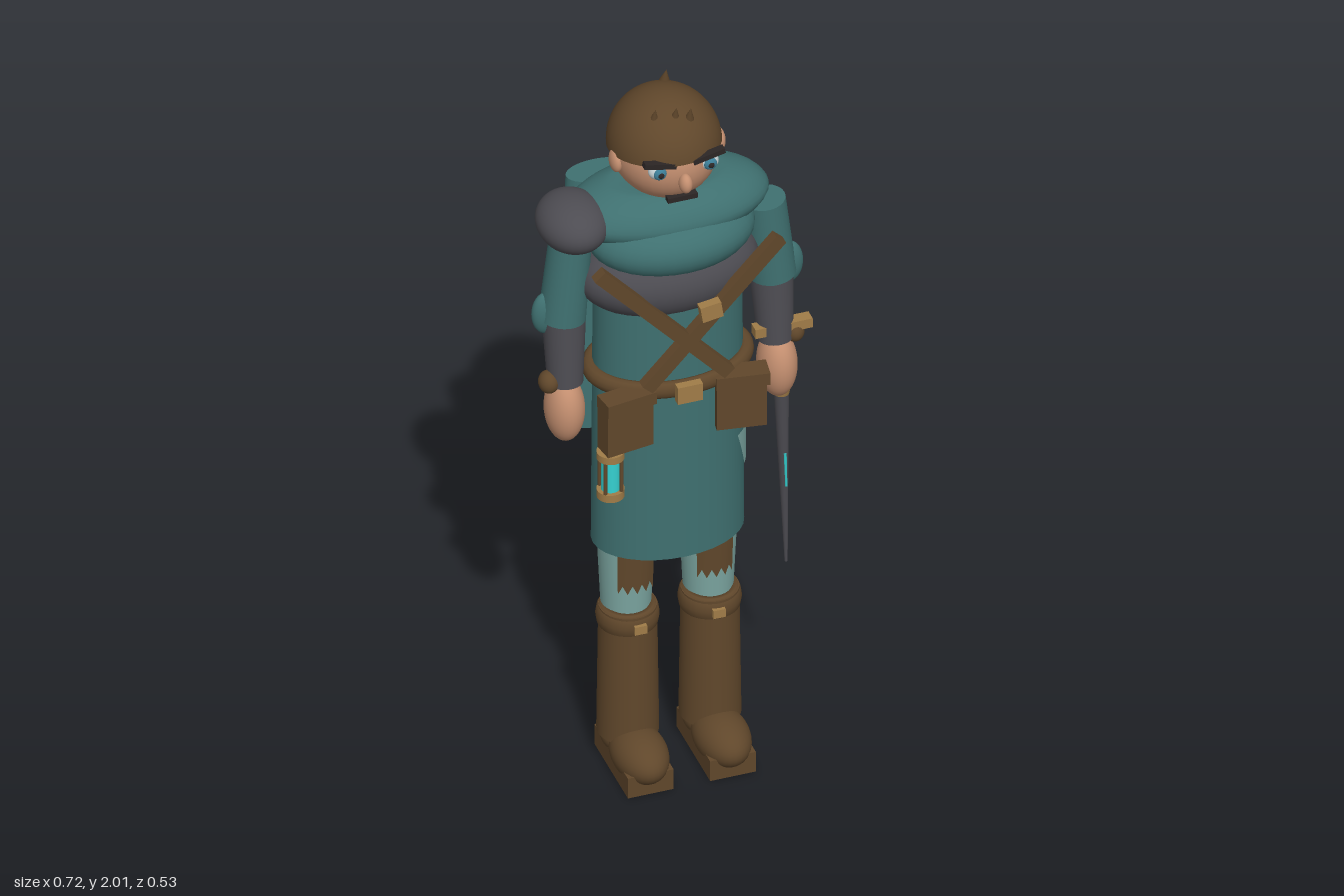
import * as THREE from 'three';

const mat = (name, color, side = THREE.FrontSide) => {
  const m = new THREE.MeshStandardMaterial({ color, side });
  m.name = name;
  return m;
};

export function createModel() {
  const root = new THREE.Group();
  root.name = 'hoodedAdventurer';
  const teal = mat('tealCloth', 0x3f7070);
  const pale = mat('paleTealCloth', 0x7ba5a0, THREE.DoubleSide);
  const grey = mat('darkGreyArmour', 0x4d4c52);
  const brown = mat('brownLeather', 0x60472b, THREE.DoubleSide);
  const skin = mat('skin', 0xc48f70);
  const gold = mat('brass', 0xa07c48);
  const glow = mat('cyanGlow', 0x35d0d0);
  const dark = mat('darkDetail', 0x2c2625);
  const white = mat('eyeWhite', 0xc4d0d2);
  const iris = mat('eyeBlue', 0x3d7f98);

  const add = (name, geo, m, x = 0, y = 0, z = 0, parent = root) => {
    const mesh = new THREE.Mesh(geo, m);
    mesh.name = name;
    mesh.position.set(x, y, z);
    parent.add(mesh);
    return mesh;
  };
  const ball = (name, m, [x, y, z], [rx, ry, rz]) =>
    add(name, new THREE.SphereGeometry(1, 32, 20).scale(rx, ry, rz), m, x, y, z);
  const box = (name, m, [x, y, z], [w, h, d]) => add(name, new THREE.BoxGeometry(w, h, d), m, x, y, z);
  const cyl = (name, m, [x, y, z], rTop, rBottom, h, depth = 1) =>
    add(name, new THREE.CylinderGeometry(rTop, rBottom, h, 32).scale(1, 1, depth), m, x, y, z);
  // Tapered rod from a to b
  const rod = (name, m, a, b, ra, rb) => {
    const p = new THREE.Vector3(...a), q = new THREE.Vector3(...b);
    const d = q.clone().sub(p), c = p.clone().add(q).multiplyScalar(0.5);
    const r = add(name, new THREE.CylinderGeometry(rb, ra, d.length(), 24), m, c.x, c.y, c.z);
    r.quaternion.setFromUnitVectors(new THREE.Vector3(0, 1, 0), d.normalize());
    return r;
  };

  // Tunic, chest armour and cowl
  cyl('tunic', teal, [-0.005, 1.135, 0.065], 0.19, 0.196, 0.93, 0.68);
  ball('chestArmour', grey, [-0.01, 1.485, 0.075], [0.235, 0.12, 0.145]);
  ball('cowlDrape', teal, [0, 1.59, 0.075], [0.215, 0.1, 0.15]);
  const cowl = new THREE.SplineCurve([[0.001, 1.58], [0.13, 1.585], [0.22, 1.605], [0.265, 1.65],
    [0.235, 1.695], [0.17, 1.725], [0.12, 1.73], [0.001, 1.725]].map(p => new THREE.Vector2(...p)));
  add('cowl', new THREE.LatheGeometry(cowl.getPoints(28), 40).scale(1, 1, 0.57), teal, 0.002, 0, 0.035);

  // Crossed chest straps
  for (const [a, b] of [[[0.235, 1.6], [-0.115, 1.225]], [[-0.24, 1.6], [0.1, 1.225]]]) {
    const dx = b[0] - a[0], dy = b[1] - a[1];
    const strap = box('chestStrap', brown, [(a[0] + b[0]) / 2, (a[1] + b[1]) / 2, 0.214],
      [0.036, Math.hypot(dx, dy), 0.028]);
    strap.rotation.z = Math.atan2(-dx, dy);
  }
  box('strapBuckle', gold, [0.05, 1.43, 0.226], [0.055, 0.045, 0.025]).rotation.z = 0.15;

  // Belt with pouches
  add('belt', new THREE.TorusGeometry(0.198, 0.022, 12, 48).rotateX(Math.PI / 2).scale(1, 1.1, 0.7),
    brown, -0.005, 1.195, 0.067);
  box('beltBuckle', gold, [-0.007, 1.195, 0.228], [0.066, 0.05, 0.022]);
  for (const s of [-1, 1]) {
    const x = s * 0.15 - 0.01;
    box('pouch', brown, [x, 1.115, 0.19], [0.127, 0.145, 0.055]).rotation.y = s * -0.15;
    box('pouchFlap', brown, [x, 1.19, 0.2], [0.136, 0.035, 0.06]).rotation.y = s * -0.15;
  }

  // Lantern
  const L = [-0.187, 0.94, 0.155];
  cyl('lanternGlass', glow, L, 0.024, 0.024, 0.1);
  for (const [y, r, h] of [[0.885, 0.035, 0.022], [1.0, 0.035, 0.02], [1.018, 0.02, 0.02]])
    cyl('lanternCap', gold, [L[0], y, L[2]], r, r, h);
  for (let i = 0; i < 4; i++) {
    const t = (i + 0.5) * Math.PI / 2;
    cyl('lanternBar', brown, [L[0] + 0.03 * Math.sin(t), L[1], L[2] + 0.03 * Math.cos(t)], 0.005, 0.005, 0.11);
  }
  cyl('lanternHook', brown, [L[0], 1.04, L[2]], 0.006, 0.006, 0.04);

  // Patch on the hip, narrowing downward around the tunic
  const patch = new THREE.CylinderGeometry(0.2, 0.2, 0.11, 20, 4, true, -0.7, 1.4);
  const pp = patch.attributes.position;
  for (let i = 0; i < pp.count; i++) {
    const k = 0.82 + pp.getY(i) / 0.11 * 0.36;
    const t = Math.atan2(pp.getX(i), pp.getZ(i)) * k;
    pp.setXYZ(i, 0.2 * Math.cos(t), pp.getY(i), -0.137 * Math.sin(t));
  }
  patch.computeVertexNormals();
  add('hipPatch', patch, pale, -0.005, 0.917, 0.065);

  // Legs and boots
  for (const s of [-1, 1]) {
    const x = s * 0.108 - 0.004;
    cyl('trouserLeg', pale, [x, 0.57, 0.058], 0.074, 0.062, 0.26);
    const guard = new THREE.CylinderGeometry(0.08, 0.076, 0.13, 8, 1, true, -0.65, 1.3);
    const gp = guard.attributes.position;
    for (let i = 0; i < gp.count; i++) if (gp.getY(i) < 0) gp.setY(i, i % 2 ? -0.065 : -0.04);
    guard.computeVertexNormals();
    add('kneeGuard', guard, brown, x - s * 0.004, 0.6, 0.056);
    cyl('bootShaft', brown, [x, 0.28, 0.072], 0.073, 0.078, 0.38);
    add('bootCuff', new THREE.TorusGeometry(0.062, 0.018, 10, 32).rotateX(Math.PI / 2).scale(1, 2, 1),
      brown, x, 0.44, 0.07);
    box('bootBuckle', gold, [x - s * 0.005, 0.44, 0.15], [0.032, 0.024, 0.014]);
    ball('bootFoot', brown, [x, 0.068, 0.155], [0.07, 0.064, 0.11]);
    box('bootSole', brown, [x, 0.03, 0.118], [0.12, 0.06, 0.245]);
    ball('bootHeel', brown, [x, 0.08, 0.07], [0.07, 0.06, 0.074]);
  }

  // Arms
  for (const s of [-1, 1]) {
    const o = s < 0 ? -0.008 : 0;
    rod('upperArm', teal, [s * 0.25 + o, 1.61, 0.06], [s * 0.272 + o, 1.38, 0.06], 0.054, 0.06);
    ball('elbowPad', teal, [s * 0.316 + o, 1.4, 0.06], [0.036, 0.06, 0.024]);
    rod('bracer', grey, [s * 0.268 + o, 1.4, 0.06], [s * 0.272 + o, 1.195, 0.082], 0.056, 0.045);
    ball('hand', skin, [s * 0.275 + o, 1.12, 0.085], [0.05, 0.095, 0.063]);
    ball('wristKnot', brown, [s * 0.318 + o, 1.21, 0.09], [0.026, 0.03, 0.03]);
  }
  ball('shoulderGuard', grey, [-0.252, 1.66, 0.055], [0.09, 0.07, 0.11]);

  // Sword held in the left hand
  box('swordGuard', gold, [0.285, 1.235, 0.095], [0.15, 0.027, 0.032]);
  rod('swordGrip', brown, [0.272, 1.22, 0.1], [0.282, 1.04, 0.095], 0.018, 0.018);
  cyl('swordCollar', gold, [0.283, 1.04, 0.095], 0.024, 0.02, 0.02);
  rod('swordBlade', grey, [0.283, 1.04, 0.095], [0.311, 0.48, 0.052], 0.019, 0.004);
  rod('bladeGlow', glow, [0.294, 0.84, 0.092], [0.301, 0.73, 0.081], 0.004, 0.003);

  // Two-fold cape
  for (const [x, z] of [[-0.091, -0.194], [0.08, -0.174]])
    cyl('capeFold', teal, [x, 1.238, z], 0.087, 0.126, 0.735, 0.54);

  // Head and hair
  ball('head', skin, [-0.007, 1.838, 0.045], [0.137, 0.137, 0.15]);
  const hair = add('hair', new THREE.SphereGeometry(1, 40, 16, 0, Math.PI * 2, 0, Math.PI / 2)
    .scale(0.143, 0.148, 0.153), brown, -0.007, 1.84, 0.045);
  hair.rotation.x = -0.17;
  for (const [x, y, z] of [[-0.055, 1.968, 0.11], [-0.005, 1.972, 0.124], [0.03, 1.968, 0.132], [0.02, 1.985, -0.02]])
    add('hairTuft', new THREE.ConeGeometry(0.015, 0.05, 10), brown, x, y, z).rotation.x = 0.3;

  // Face
  for (const s of [-1, 1]) {
    const x = s * 0.066 - 0.001;
    ball('eyeball', white, [x, 1.845, 0.17], [0.026, 0.022, 0.02]);
    ball('iris', iris, [x, 1.845, 0.184], [0.017, 0.017, 0.01]);
    ball('pupil', dark, [x, 1.845, 0.192], [0.008, 0.008, 0.005]);
    const brow = box('eyebrow', dark, [s * 0.064 - 0.004, 1.872, 0.183], [0.085, 0.014, 0.02]);
    brow.rotation.z = s * 0.22;
    ball('ear', skin, [s * 0.135 - 0.006, 1.825, 0.065], [0.016, 0.032, 0.028]);
  }
  ball('nose', skin, [-0.006, 1.813, 0.2], [0.017, 0.027, 0.022]);
  box('mouth', dark, [-0.005, 1.752, 0.169], [0.078, 0.014, 0.02]);
  return root;
}
